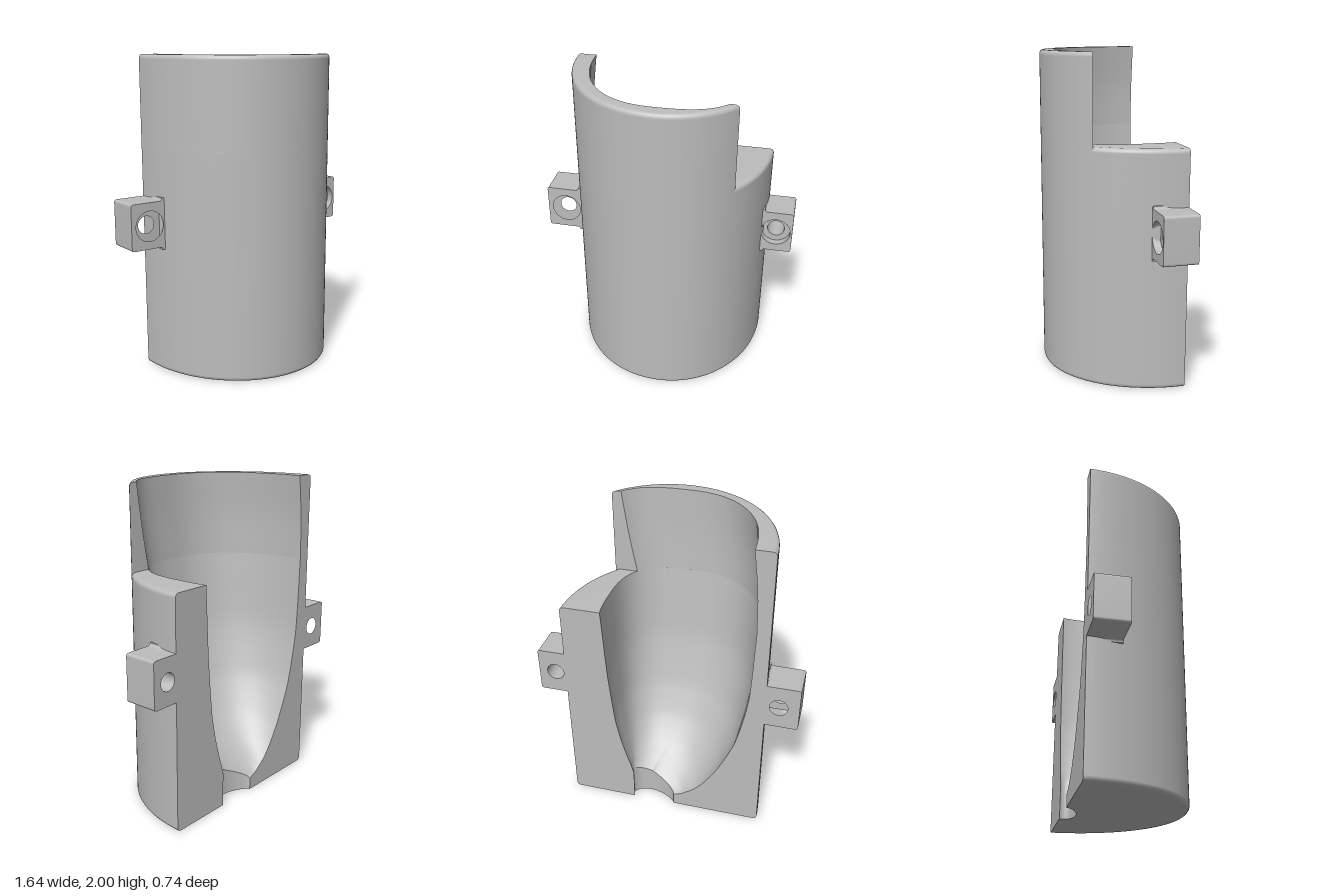
import * as THREE from 'three';
import { toCreasedNormals } from 'three/addons/utils/BufferGeometryUtils.js';

const BACK = -0.37;    // flat rear plane
const STEP_Y = 1.465;  // height of the notch floor
const STEP_Z = 0.155;  // rear face of the tall part at the notch
const HALF = 40;       // segments in each half of an arch

// Creased normals, worked out at a large scale so that close points stay apart
function crease(geometry) {
  return toCreasedNormals(geometry.scale(100, 100, 100), 0.6).scale(0.01, 0.01, 0.01);
}

// Arch from the left end on the rear plane, over the front, to zEnd on the right.
// row: yl, yr (height at both ends), xl, xr (ends on the rear plane), zf (front),
// nl, nr (roundness of both halves); lift moves the widest point of the right half forward
function arch({ yl, yr, xl, xr, zf, nl, nr }, zEnd, lift, shift) {
  const depth = zf - BACK, cx = (xl + xr) / 2 + shift;
  const bulge = (z, zc, n) => Math.pow(Math.max(0, 1 - Math.pow(Math.abs((z - zc) / (zf - zc)), n)), 1 / n);
  const zc = BACK + lift * depth, rightWidth = (xr - cx) / bulge(BACK, zc, nr);
  const end = Math.PI - Math.asin((zEnd - BACK) / depth);
  const points = [];
  for (let k = 0; k <= 2 * HALF; k++) {
    const left = k <= HALF;
    const a = left ? (k / HALF) * Math.PI / 2 : Math.PI / 2 + ((k - HALF) / HALF) * (end - Math.PI / 2);
    const z = k === 2 * HALF ? zEnd : BACK + depth * Math.sin(a);
    const x = left ? cx - (cx - xl) * bulge(z, BACK, nl) : cx + rightWidth * bulge(z, zc, nr);
    points.push([x, yl + (yr - yl) * Math.sin(a / 2), z]);
  }
  return points;
}

const outerArch = (y, inset, zEnd) => arch(
  { yl: y, yr: y, xl: -0.621 + inset, xr: 0.645 - inset, zf: 0.367 - inset, nl: 2.03, nr: 2.03 }, zEnd, 0, 0.012);
const innerArch = (row, zEnd) => arch(row, zEnd, 0.3, 0.03);

// Rounded outer edge, from the wall to the end face at y
function roundedEdge(y, dir, zEnd) {
  const r = 0.025, rows = [outerArch(y - dir * 0.029, 0, zEnd)];
  for (let i = 0; i <= 4; i++) {
    const a = (i / 4) * Math.PI / 2;
    rows.push(outerArch(y - dir * r * (1 - Math.sin(a)), r * (1 - Math.cos(a)), zEnd));
  }
  return rows;
}

// Cavity rows between smooth control rows
function smoothRows(table, steps) {
  const xs = new THREE.CatmullRomCurve3(table.map((r) => new THREE.Vector3(r[2], r[3], r[4])));
  const ys = new THREE.CatmullRomCurve3(table.map((r) => new THREE.Vector3(r[0], r[1], r[5])));
  const rows = [];
  for (let i = 0; i <= steps; i++) {
    const p = xs.getPoint(i / steps), q = ys.getPoint(i / steps);
    rows.push({ yl: q.x, yr: q.y, xl: p.x, xr: p.y, zf: p.z, nl: q.z, nr: q.z + 0.7 });
  }
  return rows;
}

// Skin over the arches, with flat end faces that look backwards
function shell(rows, closed) {
  const positions = [], n = 2 * HALF;
  const tri = (...c) => c.forEach((p) => positions.push(...p));
  for (let r = 0; r < rows.length - (closed ? 0 : 1); r++) {
    const a = rows[r], b = rows[(r + 1) % rows.length];
    for (let k = 0; k < n; k++) {
      tri(a[k], a[k + 1], b[k + 1]);
      tri(a[k], b[k + 1], b[k]);
    }
  }
  for (const k of [0, n]) {
    const loop = rows.map((row) => row[k]);
    const flat = loop.map((p) => new THREE.Vector2(p[0], p[1]));
    for (const [i, j, m] of THREE.ShapeUtils.triangulateShape(flat, [])) {
      const ccw = THREE.ShapeUtils.area([flat[i], flat[j], flat[m]]) > 0;
      if (ccw) tri(loop[i], loop[m], loop[j]);
      else tri(loop[i], loop[j], loop[m]);
    }
  }
  const g = new THREE.BufferGeometry();
  g.setAttribute('position', new THREE.Float32BufferAttribute(positions, 3));
  return crease(g);
}

// Lug slab with a flared root, rounded outer corners and a round hole
function lugSlab({ xIn, xRoot, xOut, xHole }, radius, z0, z1) {
  const y0 = 0.83, y1 = 1.122, s = Math.sign(xOut), r = 0.018;
  const shape = new THREE.Shape();
  shape.moveTo(xIn, y0 - r);
  shape.lineTo(xRoot, y0 - r);
  shape.quadraticCurveTo(xRoot, y0, xRoot + s * r, y0);
  shape.lineTo(xOut - s * r, y0);
  shape.quadraticCurveTo(xOut, y0, xOut, y0 + r);
  shape.lineTo(xOut, y1 - r);
  shape.quadraticCurveTo(xOut, y1, xOut - s * r, y1);
  shape.lineTo(xRoot + s * r, y1);
  shape.quadraticCurveTo(xRoot, y1, xRoot, y1 + r);
  shape.lineTo(xIn, y1 + r);
  shape.closePath();
  const hole = new THREE.Path();
  hole.absarc(xHole, 0.975, radius, 0, Math.PI * 2, true);
  shape.holes.push(hole);
  const g = new THREE.ExtrudeGeometry(shape, { depth: z1 - z0, bevelEnabled: false, curveSegments: 20 });
  return crease(g.translate(0, 0, z0));
}

export function createModel() {
  const grey = new THREE.MeshStandardMaterial({ color: 0xbcbcbc });
  grey.name = 'grey';
  const model = new THREE.Group();
  model.name = 'halfSocket';
  const add = (parent, name, geometry) => {
    const mesh = new THREE.Mesh(geometry, grey);
    mesh.name = name;
    parent.add(mesh);
  };

  // Cavity: yl, yr, xl, xr, zf, roundness, from the drain hole upwards
  const lowerCavity = smoothRows([
    [0.08, 0.22, -0.05, 0.225, -0.285, 1.5],
    [0.12, 0.29, -0.13, 0.245, -0.2, 1.8],
    [0.21, 0.37, -0.23, 0.27, -0.1, 2],
    [0.38, 0.48, -0.34, 0.3, 0.0, 2.1],
    [0.64, 0.66, -0.45, 0.335, 0.1, 2.15],
    [1.0, 1.0, -0.52, 0.367, 0.2, 2.2],
    [STEP_Y, STEP_Y, -0.54, 0.39, 0.26, 2.25],
  ], 36);
  const upperCavity = smoothRows([
    [STEP_Y, STEP_Y, -0.54, 0.39, 0.26, 2.25],
    [1.73, 1.73, -0.53, 0.43, 0.273, 2.25],
    [2, 2, -0.5, 0.465, 0.278, 2.25],
  ], 12);
  const drain = { ...lowerCavity[0], yl: 0, yr: 0 };

  // Lower body, with the cavity and drain hole
  add(model, 'lowerBody', shell([
    ...roundedEdge(0, -1, BACK).reverse(),
    ...roundedEdge(STEP_Y, 1, BACK),
    ...lowerCavity.reverse().map((r) => innerArch(r, BACK)),
    innerArch(drain, BACK),
  ], true));

  // Tall wall, ending at the notch
  add(model, 'upperWall', shell([
    outerArch(STEP_Y - 0.03, 0, STEP_Z),
    ...roundedEdge(2, 1, STEP_Z),
    ...upperCavity.reverse().map((r) => innerArch(r, STEP_Z)),
  ], false));

  // Screw lugs with counterbored holes
  for (const [name, size] of [
    ['rightLug', { xIn: -0.57, xRoot: -0.612, xOut: -0.825, xHole: -0.7 }],
    ['leftLug', { xIn: 0.6, xRoot: 0.634, xOut: 0.82, xHole: 0.712 }],
  ]) {
    const lug = new THREE.Group();
    lug.name = name;
    add(lug, 'lugBase', lugSlab(size, 0.055, BACK, -0.205));
    add(lug, 'lugCounterbore', lugSlab(size, 0.095, -0.205, -0.157));
    model.add(lug);
  }
  return model;
}
